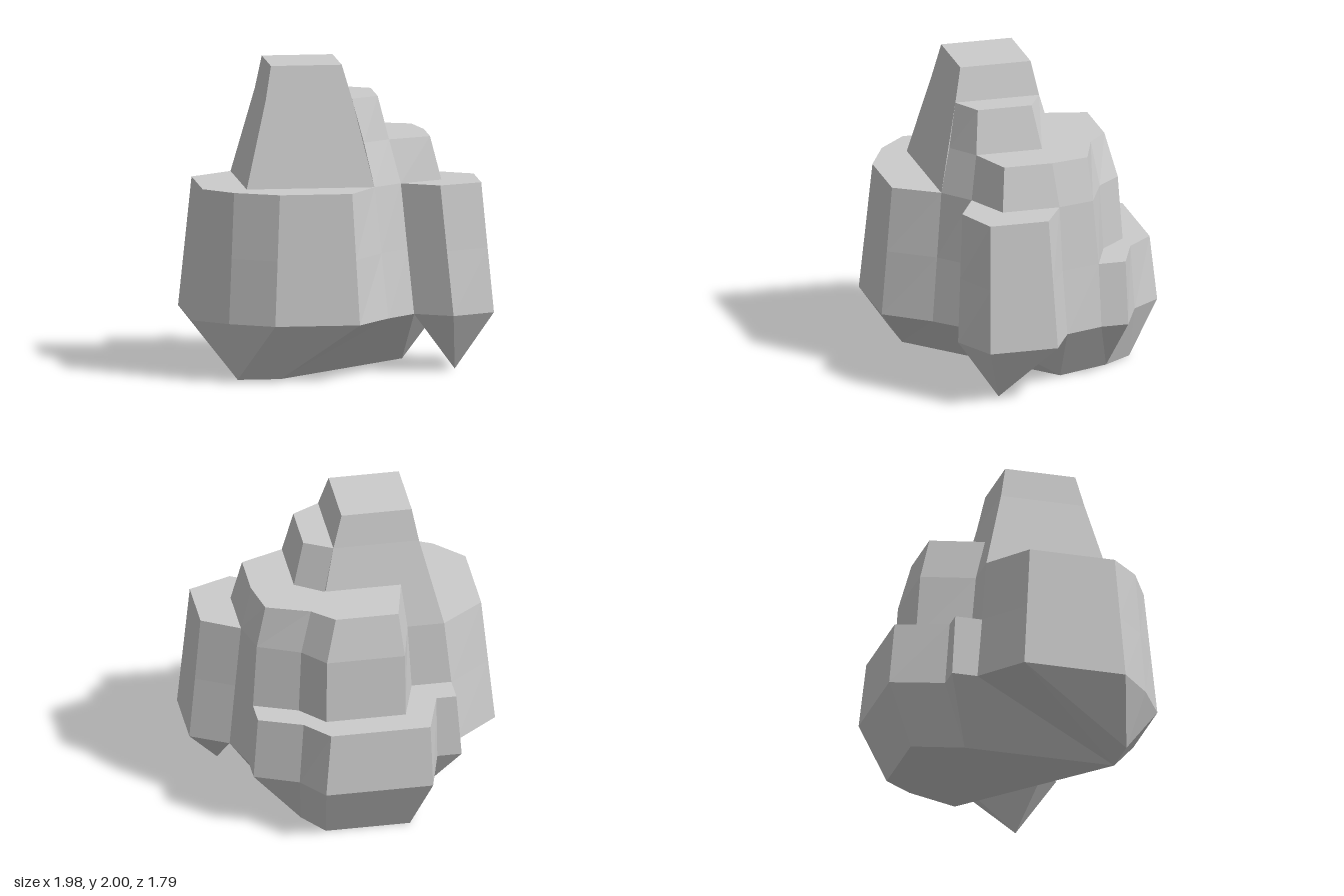
import * as THREE from 'three';

const material = new THREE.MeshStandardMaterial({ color: 0xcccccc, flatShading: true });

// Outlines are [x, z] corners, running from the back left round the front.
const bodyFoot = [
  [-.99, -.15], [-.99, .53], [-.77, .73], [-.49, .89], [.06, .89], [.28, .61], [.47, .43],
  [.71, .56], [.99, .42], [.99, -.03], [.75, -.16],
];
const backFoot = [
  [.67, -.41], [.67, -.59], [.39, -.71], [.25, -.90], [-.45, -.90], [-.54, -.55], [-.70, -.55], [-.70, -.38],
];
const bodyMiddle = [
  [-.95, -.12], [-.95, .505], [-.75, .70], [-.47, .85], [.04, .85], [.24, .57], [.43, .405],
  [.67, .535], [.95, .41], [.95, -.01], [.71, -.14],
];
const backLedge = [
  [.64, -.40], [.64, -.58], [.36, -.69], [.21, -.86], [-.44, -.86], [-.54, -.52], [-.67, -.52], [-.67, -.34],
];
const backWall = [[.64, -.40], [.36, -.51], [.21, -.68], [-.31, -.68], [-.41, -.34], [-.67, -.34]];
const bodyTop = [
  [-.91, -.09], [-.91, .48], [-.73, .67], [-.45, .81], [.02, .81], [.20, .53], [.39, .38],
  [.63, .51], [.91, .40], [.91, .01], [.67, -.13],
  [.61, -.37], [.34, -.49], [.20, -.65], [-.31, -.65], [-.39, -.30], [-.63, -.30],
];
const shoulderFoot = [
  [-.39, -.30], [-.2, .1], [.20, .53], [.39, .38], [.67, .25], [.67, -.13],
  [.61, -.37], [.34, -.49], [.20, -.65], [-.31, -.65],
];
const shoulderTop = [
  [-.36, -.23], [-.2, .1], [.14, .46], [.32, .33], [.60, .22], [.60, -.10],
  [.55, -.35], [.27, -.45], [.13, -.58], [-.28, -.58],
];
const stepFoot = [[.14, -.23], [.14, .46], [.32, .33], [.32, -.11]];
const stepTop = [[.07, -.16], [.07, .40], [.25, .30], [.25, -.06]];
const rect = (x0, x1, z0, z1) => [[x0, z0], [x0, z1], [x1, z1], [x1, z0]];

const at = (outline, y) => outline.map(([x, z]) => new THREE.Vector3(x, y, z));

function makeMesh(name, corners) {
  const geometry = new THREE.BufferGeometry().setFromPoints(corners);
  geometry.computeVertexNormals();
  const mesh = new THREE.Mesh(geometry, material);
  mesh.name = name;
  return mesh;
}

// Fills an outline, facing up or down
function cap(ring, up) {
  const flat = ring.map((p) => new THREE.Vector2(p.x, -p.z));
  return THREE.ShapeUtils.triangulateShape(flat, [])
    .flatMap(([a, b, c]) => (up ? [ring[a], ring[b], ring[c]] : [ring[c], ring[b], ring[a]]));
}

// Tapering slab through stacked outlines: [outline, height]
function tier(name, ...levels) {
  const rings = levels.map(([outline, y]) => at(outline, y));
  const corners = [...cap(rings[0], false), ...cap(rings[rings.length - 1], true)];
  for (let k = 0; k + 1 < rings.length; k++) {
    const low = rings[k], high = rings[k + 1];
    low.forEach((p, i) => {
      const j = (i + 1) % low.length;
      corners.push(p, low[j], high[j], p, high[j], high[i]);
    });
  }
  return makeMesh(name, corners);
}

// Faceted underside: each rim corner runs down to one of a few low points
function underside() {
  const low = at([[-.70, .62], [-.42, .62], [.47, -.19], [.35, -.53], [.22, -.72], [-.33, -.72], [-.41, -.38]], 0);
  const rim = at([...bodyFoot.slice(0, 7), bodyFoot[10], ...backFoot], .38);
  const target = [1, 0, 0, 0, 1, 1, 2, 2, 2, 3, 3, 4, 5, 5, 6, 6];
  const corners = cap(low.slice(1), false);
  rim.forEach((p, i) => {
    const j = (i + 1) % rim.length;
    const a = low[target[i]], b = low[target[j]];
    corners.push(p, b, rim[j]);
    if (a !== b) corners.push(p, a, b);
  });
  return makeMesh('underside', corners);
}

// Pointed foot under the side buttress
function spike() {
  const tip = new THREE.Vector3(.75, 0, .30);
  const rim = at(bodyFoot.slice(6, 11), .38);
  return makeMesh('sideSpike', rim.flatMap((p, i) => [p, tip, rim[(i + 1) % rim.length]]));
}

export function createModel() {
  const group = new THREE.Group();
  group.name = 'steppedRock';
  group.add(
    underside(),
    spike(),
    tier('lowerTier', [[...bodyFoot, ...backFoot], .38], [[...bodyMiddle, ...backLedge], .80]),
    tier('middleTier', [[...bodyMiddle, ...backWall], .80], [bodyTop, 1.225]),
    tier('shoulder', [shoulderFoot, 1.225], [shoulderTop, 1.505]),
    tier('sideStep', [stepFoot, 1.505], [stepTop, 1.785]),
    tier('peak', [rect(-.63, .20, -.30, .53), 1.225], [rect(-.49, .07, -.16, .40), 1.785],
      [rect(-.45, .01, -.12, .35), 2]),
  );
  return group;
}
